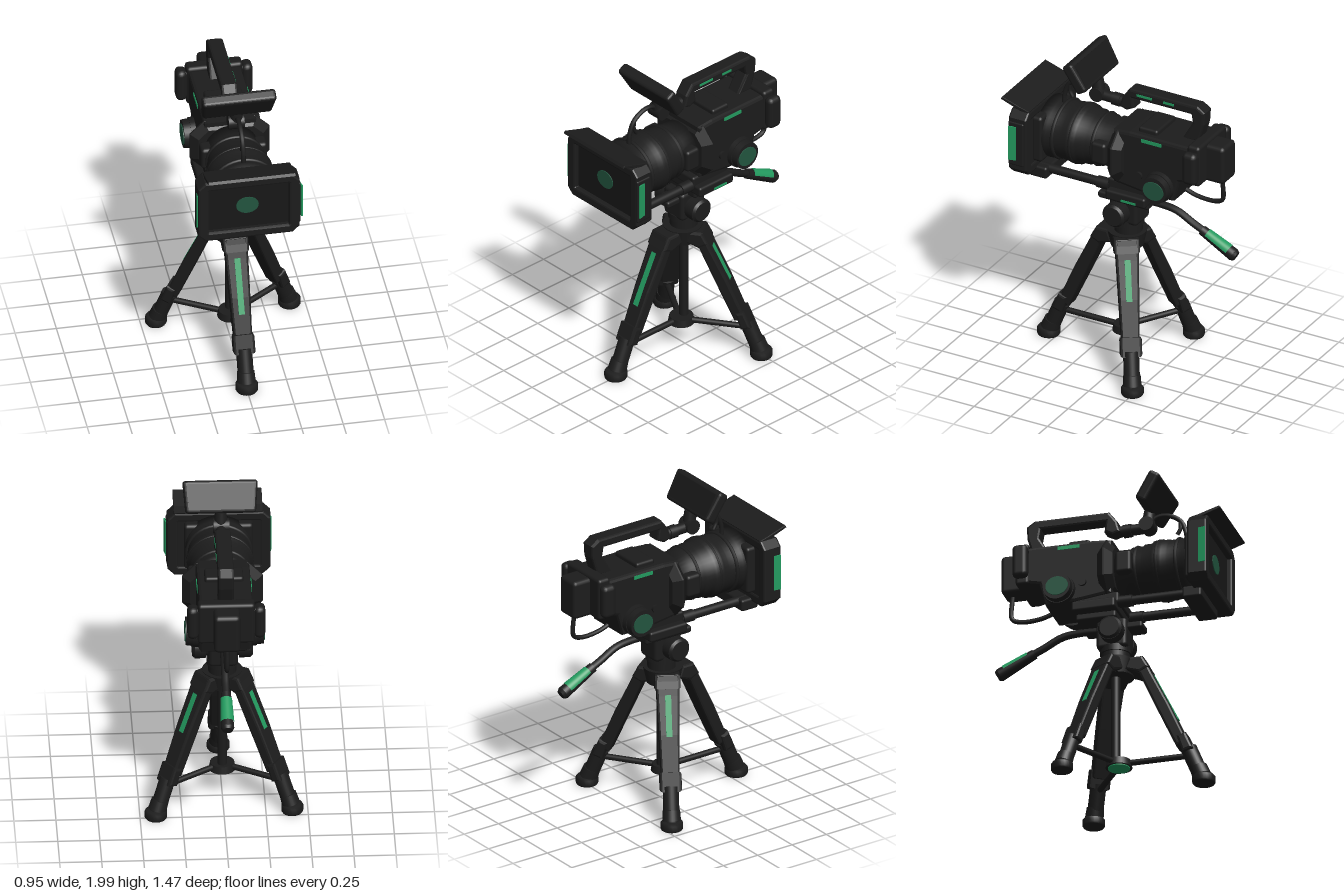
import * as THREE from 'three';
import { RoundedBoxGeometry } from 'three/addons/geometries/RoundedBoxGeometry.js';

export function createModel() {
  const root = new THREE.Group();
  root.name = 'videoCameraOnTripod';
  const material = (name, color) => {
    const m = new THREE.MeshStandardMaterial({ color });
    m.name = name;
    return m;
  };
  const black = material('matteBlack', 0x1c1c1c);
  const dark = material('deepBlack', 0x181818);
  const green = material('accentGreen', 0x239a5f);
  const dimGreen = material('glassGreen', 0x22553f);
  const V = (x, y, z) => new THREE.Vector3(x, y, z);

  const add = (name, geo, mat, parent = root) => {
    const m = new THREE.Mesh(geo, mat);
    m.name = name;
    parent.add(m);
    return m;
  };
  // Rounded box given by its min and max corners
  const box = (name, x0, x1, y0, y1, z0, z1, r = 0.015, mat = black, parent = root) => {
    const g = new RoundedBoxGeometry(x1 - x0, y1 - y0, z1 - z0, 2, r);
    g.translate((x0 + x1) / 2, (y0 + y1) / 2, (z0 + z1) / 2);
    return add(name, g, mat, parent);
  };
  // Box spanning a to b outward on side s
  const sideBox = (name, s, a, b, ...rest) => box(name, Math.min(s * a, s * b), Math.max(s * a, s * b), ...rest);
  // Thin painted plate
  const plate = (name, x, y, z, w, h, d, mat = green, parent = root) => {
    const m = add(name, new THREE.BoxGeometry(w, h, d), mat, parent);
    m.position.set(x, y, z);
    return m;
  };
  // Tapered round rod between two points; a partial arc wraps only its upper side
  const rod = (name, a, b, ra, rb = ra, mat = black, parent = root, arc = Math.PI * 2) => {
    const d = b.clone().sub(a);
    const open = arc < 6;
    const m = add(name, new THREE.CylinderGeometry(rb, ra, d.length(), 28, 1, open, -arc / 2, arc), mat, parent);
    m.position.copy(a).add(b).multiplyScalar(0.5);
    m.quaternion.setFromUnitVectors(V(0, 1, 0), d.normalize());
    return m;
  };
  const tube = (name, pts, r) =>
    add(name, new THREE.TubeGeometry(new THREE.CatmullRomCurve3(pts.map(p => V(...p))), 40, r, 10), black);
  // Side profile of [z, y] points, extruded across x
  const profile = (name, pts, width, bevel = 0.012, parent = root) => {
    const shape = new THREE.Shape(pts.map(p => new THREE.Vector2(...p)));
    const g = new THREE.ExtrudeGeometry(shape, {
      depth: width - 2 * bevel, bevelEnabled: true, bevelSize: bevel, bevelThickness: bevel,
      bevelOffset: -bevel, bevelSegments: 2,
    });
    g.translate(0, 0, bevel - width / 2).rotateY(-Math.PI / 2);
    return add(name, g, black, parent);
  };
  // Scale each vertex across x by a rule of its height
  const taperX = (mesh, rule) => {
    const p = mesh.geometry.attributes.position;
    for (let i = 0; i < p.count; i++) p.setX(i, p.getX(i) * rule(p.getY(i)));
    mesh.geometry.computeVertexNormals();
  };
  // Rectangle with cut corners, for frames
  const cutRect = (C, w, h, c) => new C([
    [-w + c, -h], [w - c, -h], [w, -h + c], [w, h - c],
    [w - c, h], [-w + c, h], [-w, h - c], [-w, -h + c],
  ].map(p => new THREE.Vector2(...p)));

  // ---- Tripod: each leg has an angle, a reach and a stripe length ----
  const tripod = new THREE.Group();
  tripod.name = 'tripod';
  tripod.position.z = 0.04;
  root.add(tripod);
  for (const [angle, reach, stripe] of [[0, 0.515, 0.34], [125, 0.495, 0.25], [-121, 0.475, 0.25]]) {
    const leg = new THREE.Group();
    leg.name = 'tripodLeg';
    leg.rotation.y = THREE.MathUtils.degToRad(angle);
    leg.scale.z = reach / 0.5;
    tripod.add(leg);
    const upper = profile('upperLeg', [[0.05, 0.78], [0.09, 0.85], [0.155, 0.85], [0.205, 0.74], [0.305, 0.53],
      [0.415, 0.27], [0.345, 0.25], [0.225, 0.52], [0.13, 0.74]], 0.14, 0.014, leg);
    taperX(upper, y => 0.77 + 0.45 * (y - 0.27));
    profile('legShoulder', [[0.04, 0.78], [0.07, 0.855], [0.15, 0.855], [0.19, 0.78], [0.13, 0.75]], 0.155, 0.014, leg);
    profile('legClamp', [[0.35, 0.31], [0.405, 0.33], [0.45, 0.22], [0.385, 0.2]], 0.132, 0.015, leg);
    rod('lowerLeg', V(0, 0.24, 0.41), V(0, 0.04, 0.49), 0.048, 0.048, black, leg);
    rod('ankle', V(0, 0.11, 0.468), V(0, 0.05, 0.49), 0.052, 0.056, black, leg);
    const foot = add('foot', new THREE.LatheGeometry([[0, 0], [0.062, 0], [0.068, 0.01], [0.068, 0.042],
      [0.058, 0.055], [0, 0.06]].map(p => new THREE.Vector2(...p)), 24), black, leg);
    foot.position.z = 0.5;
    // Accent strip on the outer face of the leg
    const y = 0.745 - stripe * 0.45;
    const strip = plate('legStripe', 0, y, 0.204 + (0.74 - y) * 0.476, 0.036, stripe, 0.008, green, leg);
    strip.rotation.x = -Math.atan2(0.1, 0.21);
    rod('spreaderArm', V(0, 0.195, -0.01), V(0, 0.195, 0.42), 0.018, 0.018, black, leg);
  }
  rod('centreColumn', V(0, 0.2, -0.03), V(0, 0.8, -0.03), 0.028, 0.028, black, tripod);
  rod('spreaderHub', V(0, 0.17, -0.01), V(0, 0.215, -0.01), 0.08, 0.072, black, tripod);
  rod('hubBadge', V(0, 0.164, -0.01), V(0, 0.171, -0.01), 0.066, 0.066, green, tripod);
  rod('tripodCrown', V(0, 0.76, -0.02), V(0, 0.86, -0.02), 0.1, 0.12, black, tripod);

  // ---- Fluid head and pan handle ----
  rod('headNeck', V(0, 0.84, 0.01), V(0, 0.93, 0.01), 0.085, 0.085);
  rod('headCollar', V(0, 0.91, 0.01), V(0, 0.95, 0.01), 0.095, 0.095);
  box('headBlock', -0.085, 0.085, 0.93, 1.12, -0.09, 0.1, 0.025);
  box('headNose', -0.06, 0.06, 1.05, 1.095, 0.05, 0.19, 0.015);
  for (const s of [-1, 1]) {
    rod('tiltAxle', V(s * 0.07, 1.02, 0.02), V(s * 0.11, 1.02, 0.02), 0.06);
    rod('tiltKnob', V(s * 0.1, 1.02, 0.02), V(s * 0.165, 1.02, 0.02), 0.075);
    rod('tiltKnobCap', V(s * 0.165, 1.02, 0.02), V(s * 0.18, 1.02, 0.02), 0.073, 0.06);
  }
  tube('panArm', [[0, 1.08, -0.05], [0, 1.085, -0.2], [0, 1.07, -0.32], [0, 1.01, -0.44], [0, 0.965, -0.54]], 0.023);
  rod('panGrip', V(0, 0.985, -0.49), V(0, 0.875, -0.705), 0.03, 0.04);
  rod('panGripEnd', V(0, 0.875, -0.705), V(0, 0.866, -0.722), 0.04, 0.03);
  rod('panGripBand', V(0, 0.967, -0.525), V(0, 0.892, -0.672), 0.035, 0.042, green, root, 2.9);

  // ---- Mounting plates and support rods ----
  box('quickPlate', -0.14, 0.14, 1.1, 1.16, -0.2, 0.05);
  box('basePlate', -0.2, 0.2, 1.14, 1.205, -0.21, 0.06);
  box('cameraFootPlate', -0.15, 0.15, 1.19, 1.26, -0.21, 0.07);
  plate('basePlateStripe', 0.201, 1.16, -0.1, 0.006, 0.014, 0.1);
  for (const s of [-1, 1]) {
    rod('supportRod', V(s * 0.12, 1.2, 0), V(s * 0.12, 1.2, 0.58), 0.028);
    rod('rodCollar', V(s * 0.12, 1.2, 0.07), V(s * 0.12, 1.2, 0.15), 0.036);
  }
  box('rodBridge', -0.18, 0.18, 1.15, 1.225, 0.47, 0.59);

  // ---- Camera body ----
  profile('cameraBody', [[0.03, 1.25], [0.03, 1.6], [-0.08, 1.61], [-0.5, 1.61], [-0.51, 1.38],
    [-0.42, 1.36], [-0.38, 1.22], [-0.2, 1.22]], 0.32, 0.02);
  box('topBlock', -0.115, 0.115, 1.58, 1.64, -0.25, -0.12);
  const flange = add('lensMountFlange', new THREE.ExtrudeGeometry(cutRect(THREE.Shape, 0.195, 0.13, 0.06),
    { depth: 0.01, bevelSize: 0.045, bevelThickness: 0.042, bevelSegments: 1 }), black);
  flange.position.set(0, 1.425, -0.007);
  box('rearPlate', -0.17, 0.17, 1.37, 1.635, -0.565, -0.48, 0.02);
  box('battery', -0.078, 0.078, 1.37, 1.615, -0.68, -0.5, 0.025);
  for (const s of [-1, 1]) {
    sideBox('rearArm', s, 0.12, 0.2, 1.42, 1.6, -0.555, -0.49);
    sideBox('rearPad', s, 0.165, 0.232, 1.4, 1.61, -0.57, -0.475, 0.03);
    // Round side dials with coloured faces
    rod('dialBase', V(s * 0.13, 1.305, -0.29), V(s * 0.19, 1.305, -0.29), 0.1, 0.094);
    rod('sideDial', V(s * 0.18, 1.305, -0.29), V(s * 0.232, 1.305, -0.29), 0.09, 0.085);
    const face = rod('dialFace', V(s * 0.231, 1.303, -0.288), V(s * 0.237, 1.303, -0.288), 0.07, 0.069, dimGreen);
    face.scale.x = 0.87;
    plate('bodyStripe', s * 0.161, 1.58, -0.235, 0.006, 0.022, 0.135);
    rod('smallButton', V(s * 0.155, 1.34, -0.15), V(s * 0.175, 1.34, -0.15), 0.025);
    sideBox('lensSidePad', s, 0.12, 0.2, 1.36, 1.5, 0.06, 0.16, 0.02);
  }

  // ---- Top handle ----
  profile('topHandle', [[0.05, 1.7], [0.03, 1.77], [-0.02, 1.835], [-0.48, 1.835], [-0.53, 1.8], [-0.525, 1.72],
    [-0.49, 1.6], [-0.38, 1.6], [-0.45, 1.72], [-0.44, 1.775], [-0.04, 1.775], [-0.05, 1.71], [0, 1.685]], 0.096, 0.014);
  for (const z of [-0.125, -0.29]) plate('handleStripe', 0.048, 1.808, z, 0.006, 0.015, z < -0.2 ? 0.075 : 0.105);
  rod('monitorArm', V(0, 1.715, 0), V(0, 1.72, 0.2), 0.033);
  rod('monitorArmRing', V(0, 1.715, 0.06), V(0, 1.717, 0.11), 0.04);
  rod('monitorHinge', V(-0.05, 1.73, 0.21), V(0.045, 1.73, 0.21), 0.045);
  rod('monitorStem', V(0, 1.72, 0.21), V(0, 1.825, 0.22), 0.042, 0.034);

  // ---- Tilted monitor, a little narrower at the bottom ----
  const monitor = new THREE.Group();
  monitor.name = 'monitor';
  monitor.position.set(0, 1.898, 0.265);
  monitor.rotation.x = 0.54;
  root.add(monitor);
  const shell = box('monitorShell', -0.225, 0.225, -0.098, 0.098, -0.037, 0.037, 0.02, black, monitor);
  taperX(shell, y => 0.965 + 0.35 * y);
  plate('monitorScreen', 0, 0, -0.037, 0.38, 0.15, 0.004, dark, monitor);

  // ---- Lens barrel, turned about the z axis and slightly wider than tall ----
  const lens = new THREE.Group();
  lens.name = 'lens';
  lens.position.set(0, 1.425, 0);
  lens.scale.x = 1.07;
  root.add(lens);
  const barrel = add('lensBarrel', new THREE.LatheGeometry([[0, 0], [0.15, 0], [0.15, 0.09], [0.158, 0.1], [0.158, 0.17],
    [0.168, 0.18], [0.168, 0.235], [0.182, 0.24], [0.186, 0.29], [0.18, 0.3], [0.18, 0.33], [0.176, 0.34],
    [0.176, 0.42], [0.186, 0.43], [0.186, 0.5], [0, 0.5]].map(q => new THREE.Vector2(...q)), 40), black, lens);
  barrel.rotation.x = Math.PI / 2;
  barrel.position.z = 0.04;
  for (const z of [0.17, 0.31, 0.43]) {
    const ring = add('focusRing', new THREE.TorusGeometry(z < 0.2 ? 0.155 : 0.176, 0.012, 8, 40), black, lens);
    ring.position.z = z;
  }

  // ---- Matte box with top flap ----
  box('matteBoxBack', -0.205, 0.205, 1.27, 1.57, 0.49, 0.56, 0.02);
  const frame = cutRect(THREE.Shape, 0.295, 0.2, 0.035);
  frame.holes.push(cutRect(THREE.Path, 0.255, 0.165, 0.01));
  const hood = add('matteBox', new THREE.ExtrudeGeometry(frame,
    { depth: 0.1, bevelSize: 0.012, bevelThickness: 0.012, bevelSegments: 2 }), black);
  hood.position.set(-0.005, 1.415, 0.55);
  plate('matteBoxPanel', -0.005, 1.415, 0.625, 0.53, 0.35, 0.008, dark);
  plate('matteBoxRear', -0.005, 1.415, 0.55, 0.53, 0.35, 0.008, black);
  const glass = rod('lensGlass', V(-0.01, 1.42, 0.627), V(-0.01, 1.42, 0.634), 0.068, 0.068, dimGreen);
  glass.scale.z = 0.84;
  for (const s of [-1, 1]) {
    sideBox('matteBoxCheek', s, 0.28, 0.308, 1.27, 1.56, 0.555, 0.66, 0.01);
    // Stripe flares outward toward the front
    const stripe = plate('matteBoxStripe', s * 0.312, 1.42, 0.629, 0.009, 0.225, 0.048);
    stripe.rotation.y = s * 0.22;
  }
  profile('topFlap', [[0.55, 1.605], [0.54, 1.63], [0.6, 1.645], [0.725, 1.685], [0.735, 1.67], [0.61, 1.625]], 0.53, 0.004);

  // ---- Cables ----
  tube('monitorCable', [[0, 1.58, 0.45], [0, 1.66, 0.445], [0, 1.74, 0.41], [0, 1.785, 0.33], [0, 1.78, 0.26], [0, 1.73, 0.21]], 0.014);
  tube('cableBranch', [[0, 1.73, 0.41], [0, 1.69, 0.41], [0, 1.65, 0.39]], 0.012);
  tube('rearCable', [[0, 1.4, -0.62], [0, 1.34, -0.63], [0, 1.23, -0.63], [0, 1.205, -0.58], [0, 1.21, -0.45], [0, 1.25, -0.34]], 0.014);
  return root;
}
